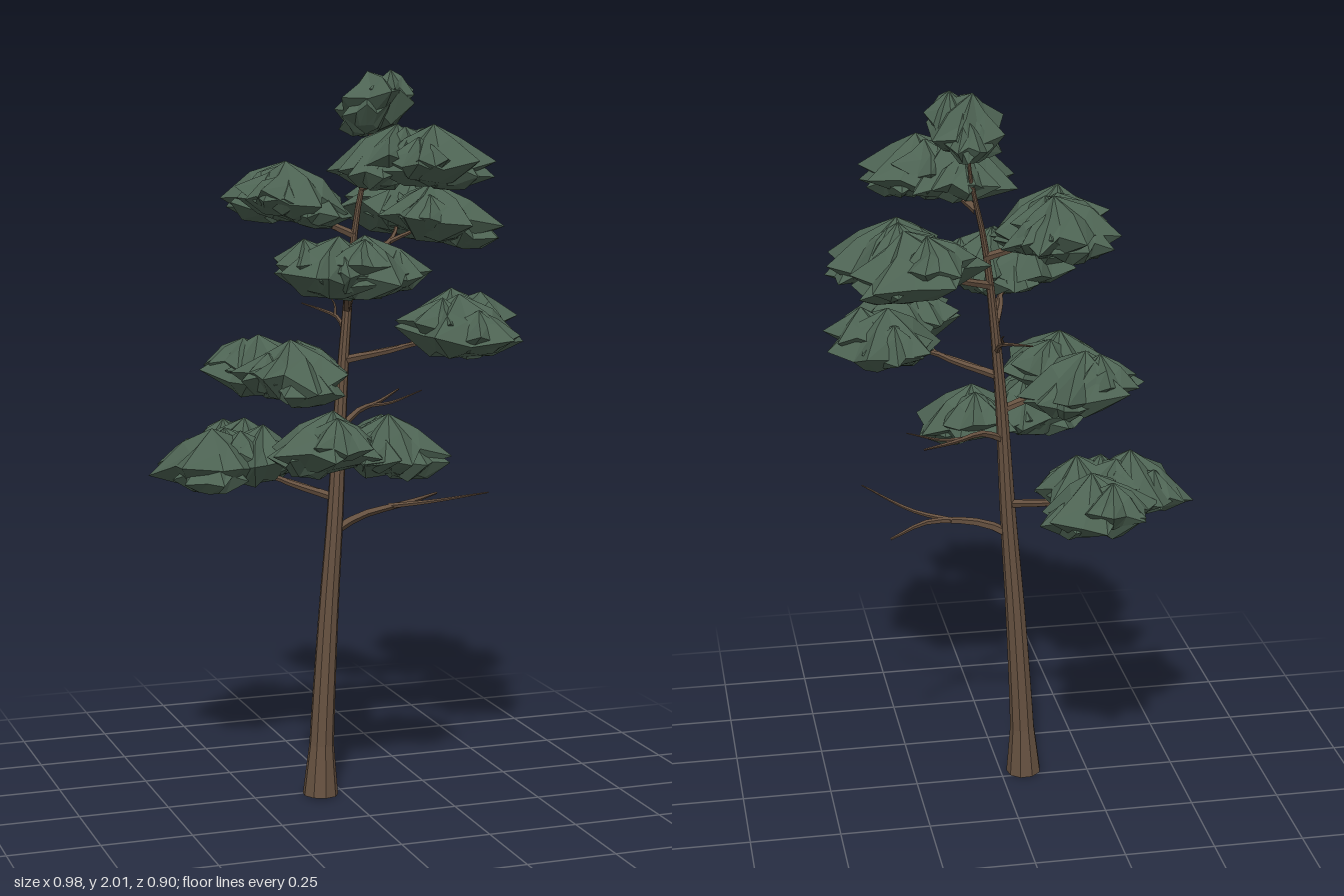
import * as THREE from 'three';
import { mergeGeometries } from 'three/addons/utils/BufferGeometryUtils.js';

const V = (a) => new THREE.Vector3(a[0], a[1], a[2]);

function seeded(seed) {
  let s = seed;
  return () => {
    s = (s * 16807) % 2147483647;
    return s / 2147483647;
  };
}

// Give every face its own normal
function faceted(geo) {
  const g = geo.index ? geo.toNonIndexed() : geo;
  g.deleteAttribute('uv');
  g.computeVertexNormals();
  return g;
}

// Tube along points whose radius follows a rule of t (0 to 1)
function taperedTube(points, radiusAt, sides, segments) {
  const curve = new THREE.CatmullRomCurve3(points.map(V));
  const geo = new THREE.TubeGeometry(curve, segments, 1, sides, false);
  const pos = geo.attributes.position;
  const p = new THREE.Vector3();
  for (let i = 0; i < pos.count; i++) {
    const t = Math.floor(i / (sides + 1)) / segments;
    const c = curve.getPointAt(t);
    p.fromBufferAttribute(pos, i).sub(c).multiplyScalar(radiusAt(t)).add(c);
    pos.setXYZ(i, p.x, p.y, p.z);
  }
  return faceted(geo);
}

// Folded needle pad: apex, ridged shoulder, spiky rim, shallow underside
function needlePad(cx, cy, cz, r, up, down, tilt, rand) {
  const n = 12 + 2 * Math.floor(rand() * 2);
  const turn = rand() * Math.PI * 2;
  const verts = [];
  const add = (x, y, z) => verts.push(cx + x, cy + y + x * tilt[0] + z * tilt[1], cz + z);
  add((rand() - 0.5) * 0.4 * r, up, (rand() - 0.5) * 0.4 * r);
  add(0, -down, 0);
  for (let i = 0; i < n; i++) {
    const a = turn + ((i + (rand() - 0.5) * 0.5) / n) * Math.PI * 2;
    const out = i % 2 ? 0.68 + rand() * 0.17 : 0.95 + rand() * 0.18;
    const ridge = i % 2 ? 0.38 : 0.62;
    const rings = [
      [0.5 * r, up * ridge],
      [out * r, (rand() - 0.6) * up * 0.5],
      [0.5 * r, -down * (0.55 + rand() * 0.45)],
    ];
    for (const [q, y] of rings) add(Math.cos(a) * q, y, Math.sin(a) * q);
  }
  const index = [];
  for (let i = 0; i < n; i++) {
    const a = 2 + i * 3, b = 2 + ((i + 1) % n) * 3;
    index.push(0, b, a, 1, a + 2, b + 2);
    for (let k = 0; k < 2; k++) index.push(a + k, b + k, b + k + 1, a + k, b + k + 1, a + k + 1);
  }
  const geo = new THREE.BufferGeometry();
  geo.setAttribute('position', new THREE.Float32BufferAttribute(verts, 3));
  geo.setIndex(index);
  return faceted(geo);
}

// A lobe is one broad pad with smaller pads stacked round it
function lobe([x, y, z, r], tilt, rand) {
  const pads = [needlePad(x, y, z, r, 0.1, 0.066, tilt, rand)];
  const start = rand() * 6.28;
  for (let i = 0; i < 3; i++) {
    const a = start + (i * Math.PI * 2) / 3;
    const dx = Math.cos(a) * r * 0.36, dz = Math.sin(a) * r * 0.36;
    const dy = (i - 1) * 0.026 + dx * tilt[0] + dz * tilt[1];
    pads.push(needlePad(x + dx, y + dy, z + dz, r * 0.64, 0.066, 0.05, tilt, rand));
  }
  return pads;
}

export function createModel() {
  const tree = new THREE.Group();
  tree.name = 'tree';
  const bark = new THREE.MeshStandardMaterial({ color: 0x665140 });
  const needles = new THREE.MeshStandardMaterial({ color: 0x4d6353 });
  bark.name = 'bark';
  needles.name = 'needles';
  const part = (name, geo, mat) => {
    const mesh = new THREE.Mesh(geo, mat);
    mesh.name = name;
    tree.add(mesh);
  };

  // Trunk: leaning, flared at the foot
  const trunkPath = [
    [-0.067, 0, 0.028], [-0.062, 0.15, 0.025], [-0.042, 0.5, 0.022], [-0.02, 0.8, 0.019],
    [0.006, 1.2, 0.008], [0.05, 1.6, -0.01], [0.088, 1.78, -0.018], [0.1, 1.92, -0.018],
  ];
  const trunkRadius = (t) => (t < 0.075
    ? THREE.MathUtils.lerp(0.05, 0.035, t / 0.075)
    : THREE.MathUtils.lerp(0.035, 0.003, (t - 0.075) / 0.925));
  part('trunk', taperedTube(trunkPath, trunkRadius, 9, 27), bark);
  const foot = new THREE.CircleGeometry(0.048, 9);
  foot.rotateX(Math.PI / 2).translate(-0.067, 0.003, 0.028);
  part('trunkFoot', foot, bark);

  // Foliage clumps: lobes as [x, rim height, z, radius], tilt as rise per x and z
  // and the point on the trunk their branch grows from
  const clumps = [
    { root: [-0.02, 0.84, 0.018], tilt: [0.03, 0], lobes: [[-0.325, 0.93, -0.14, 0.165], [-0.21, 0.93, -0.285, 0.16], [-0.2, 0.93, -0.14, 0.14]] },
    { root: [-0.012, 0.95, 0.015], tilt: [0, 0], lobes: [[-0.13, 1.025, 0.285, 0.16], [0.04, 1.01, 0.275, 0.16]] },
    { root: [0, 1.12, 0.01], tilt: [0, 0], lobes: [[-0.175, 1.2, 0.145, 0.16], [-0.21, 1.195, -0.04, 0.165]] },
    { root: [0.01, 1.22, 0.008], tilt: [0, 0], lobes: [[0.255, 1.315, 0.255, 0.17], [0.31, 1.315, 0.07, 0.16]] },
    { root: [0.02, 1.36, 0.002], tilt: [0, 0], lobes: [[-0.1, 1.48, 0.21, 0.155], [0.01, 1.48, 0.23, 0.155]] },
    { root: [0.035, 1.48, -0.004], tilt: [-0.12, 0], lobes: [[0.265, 1.605, -0.25, 0.17], [0.315, 1.595, -0.05, 0.17]] },
    { root: [0.045, 1.56, -0.008], tilt: [-0.1, 0], lobes: [[-0.13, 1.66, -0.145, 0.155], [-0.11, 1.66, -0.05, 0.155]] },
    { root: [0.07, 1.69, -0.014], tilt: [0, 0.05], lobes: [[0.1, 1.765, 0.12, 0.16], [0.19, 1.765, 0.18, 0.165]] },
    { root: null, tilt: [0.05, 0.35], lobes: [[0.1, 1.905, 0, 0.112]] },
  ];
  const rand = seeded(4127);
  const limbs = [];
  const limb = (points, r) => limbs.push(taperedTube(points, (t) => r * (1 - 0.75 * t), 5, 8));
  for (const { root, tilt, lobes } of clumps) {
    part('foliageClump', mergeGeometries(lobes.flatMap((l) => lobe(l, tilt, rand))), needles);
    if (!root) continue;
    // Main branch bends up into the clump, then forks to each lobe
    const mid = [0, 0, 0];
    for (const l of lobes) for (let k = 0; k < 3; k++) mid[k] += l[k] / lobes.length;
    const fork = root.map((v, k) => v + (mid[k] - v) * 0.55);
    fork[1] = root[1] + (mid[1] - root[1]) * 0.45;
    for (const [x, y, z] of lobes) limb([root, fork, [x, y, z]], 0.012);
  }
  part('branches', mergeGeometries(limbs), bark);

  // Bare dead branches with forked tips
  limbs.length = 0;
  limb([[-0.02, 0.75, 0.02], [0.05, 0.785, 0.02], [0.2, 0.81, 0.0], [0.33, 0.81, -0.11]], 0.014);
  limb([[0.14, 0.805, 0.01], [0.24, 0.82, 0.06], [0.37, 0.86, 0.18]], 0.008);
  limb([[0, 1.035, 0.012], [0.06, 1.07, -0.03], [0.15, 1.08, -0.11], [0.25, 1.1, -0.21]], 0.011);
  limb([[0.12, 1.077, -0.08], [0.18, 1.08, -0.09], [0.28, 1.11, -0.1]], 0.006);
  limb([[0.015, 1.29, 0.005], [0.015, 1.33, -0.06], [-0.01, 1.345, -0.11], [-0.05, 1.36, -0.18]], 0.008);
  limb([[0.01, 1.335, -0.07], [0.02, 1.36, -0.1], [0.02, 1.38, -0.14]], 0.005);
  part('bareBranches', mergeGeometries(limbs), bark);

  return tree;
}
